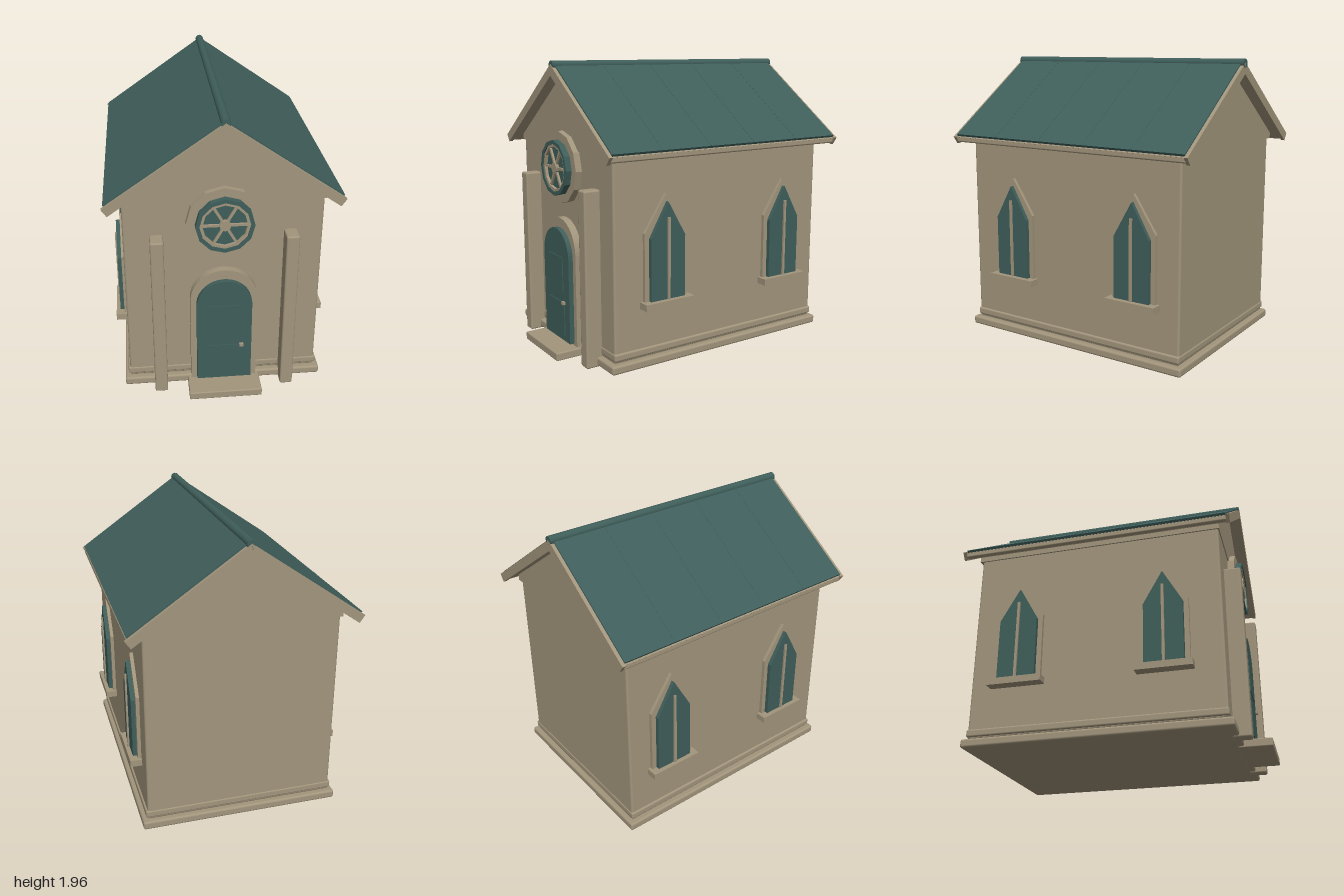
import * as THREE from 'three';
import { RoundedBoxGeometry } from 'three/addons/geometries/RoundedBoxGeometry.js';

export function createModel() {
  const model = new THREE.Group();
  model.name = 'chapel';
  const stone = new THREE.MeshStandardMaterial({ name: 'sandstone', color: 0xa2957c });
  const teal = new THREE.MeshStandardMaterial({ name: 'dark teal', color: 0x3f5e5a });

  const add = (name, geo, mat, parent = model) => {
    const m = new THREE.Mesh(geo, mat);
    m.name = name;
    parent.add(m);
    return m;
  };
  // Box given by its limits, optionally with bevelled edges
  const box = (name, mat, [x0, x1], [y0, y1], [z0, z1], bevel = 0, parent = model) => {
    const s = [x1 - x0, y1 - y0, z1 - z0];
    const geo = bevel ? new RoundedBoxGeometry(...s, 2, bevel) : new THREE.BoxGeometry(...s);
    const m = add(name, geo, mat, parent);
    m.position.set((x0 + x1) / 2, (y0 + y1) / 2, (z0 + z1) / 2);
    return m;
  };
  // Outline extruded from z0 to z1
  const slab = (name, mat, shape, z0, z1, parent = model) => {
    const geo = new THREE.ExtrudeGeometry(shape, { depth: z1 - z0, bevelEnabled: false, curveSegments: 12 });
    geo.translate(0, 0, z0);
    return add(name, geo, mat, parent);
  };
  const poly = (pts) => new THREE.Shape(pts.map(([x, y]) => new THREE.Vector2(x, y)));

  // Base and walls
  box('plinth', stone, [-0.675, 0.675], [0.01, 0.068], [-0.93, 0.82], 0.015);
  box('plinthCore', stone, [-0.635, 0.635], [0.05, 0.1], [-0.89, 0.78]);
  box('plinthMoulding', stone, [-0.652, 0.652], [0.085, 0.135], [-0.905, 0.79], 0.012);
  box('walls', stone, [-0.64, 0.64], [0.07, 1.4], [-0.9, 0.785], 0.015);
  slab('gable', stone, poly([[-0.65, 1.38], [0.65, 1.38], [0.65, 1.42], [0, 1.88], [-0.65, 1.42]]), -0.915, 0.792);

  // Roof: chevron sections whose eave ends are cut square to the slope
  const slope = 0.694, len = Math.hypot(1, slope);
  const chevron = (apex, halfWidth, thick) => {
    const bx = halfWidth - thick * slope / len;
    const top = apex - slope * halfWidth;
    const low = top - thick / len;
    return poly([[0, apex], [-halfWidth, top], [-bx, low], [0, apex - thick * len], [bx, low], [halfWidth, top]]);
  };
  slab('soffit', stone, chevron(1.925, 0.745, 0.045), -0.98, 0.855);
  slab('roofTiles', teal, chevron(1.947, 0.747, 0.022), -0.976, 0.85);
  slab('frontBargeboard', stone, chevron(1.936, 0.757, 0.06), 0.85, 0.875);
  slab('backBargeboard', stone, chevron(1.936, 0.757, 0.06), -1, -0.975);
  for (const s of [-1, 1]) {
    box('eaveBoard', stone, [s * 0.725 - 0.02, s * 0.725 + 0.02], [1.375, 1.415], [-0.98, 0.855], 0.01);
  }
  // Roof seams
  for (const z of [-0.61, -0.24, 0.12, 0.49]) slab('roofSeam', teal, chevron(1.949, 0.747, 0.006), z - 0.003, z + 0.003);
  const ridge = add('ridgeCap', new THREE.CylinderGeometry(0.03, 0.03, 1.87, 12), teal);
  ridge.rotation.x = Math.PI / 2;
  ridge.position.set(0, 1.93, -0.065);

  // Pilasters and step
  for (const s of [-1, 1]) {
    box('pilaster', stone, [s * 0.43 - 0.043, s * 0.43 + 0.043], [0, 1.17], [0.775, 0.895], 0.012);
  }
  box('doorStep', stone, [-0.245, 0.245], [0, 0.055], [0.78, 1], 0.008);

  // Door with round-headed surround
  const arch = (w, y0, spring) => {
    const s = new THREE.Shape();
    s.moveTo(-w, y0);
    s.lineTo(w, y0);
    s.lineTo(w, spring);
    s.absarc(0, spring, w, 0, Math.PI, false);
    s.closePath();
    return s;
  };
  slab('doorSurround', stone, arch(0.222, 0.05, 0.69), 0.78, 0.835);
  slab('door', teal, arch(0.183, 0.07, 0.663), 0.78, 0.868);
  box('doorUpperPanel', teal, [-0.1, 0.1], [0.42, 0.66], [0.865, 0.874]);
  box('doorLowerPanel', teal, [-0.115, 0.115], [0.11, 0.345], [0.865, 0.874]);
  box('doorHandle', stone, [0.1, 0.127], [0.335, 0.355], [0.865, 0.888]);

  // Round window
  const rose = new THREE.Group();
  rose.name = 'roundWindow';
  rose.position.y = 1.255;
  model.add(rose);
  const ngon = (r, n = 12) => Array.from({ length: n }, (_, i) =>
    new THREE.Vector2(r * Math.cos(i * 2 * Math.PI / n), r * Math.sin(i * 2 * Math.PI / n)));
  const ring = (r, hole) => {
    const s = new THREE.Shape(ngon(r));
    s.holes.push(new THREE.Path(ngon(hole)));
    return s;
  };
  slab('stoneRing', stone, ring(0.245, 0.18), 0.78, 0.83, rose);
  slab('tealRing', teal, ring(0.188, 0.162), 0.78, 0.872, rose);
  slab('innerRing', stone, ring(0.165, 0.143), 0.78, 0.865, rose);
  slab('glass', teal, new THREE.Shape(ngon(0.15)), 0.78, 0.845, rose);
  slab('hub', stone, new THREE.Shape(ngon(0.036)), 0.83, 0.868, rose);
  for (let i = 0; i < 6; i++) {
    const spoke = box('spoke', stone, [0, 0.15], [-0.008, 0.008], [0.835, 0.86], 0, rose);
    const a = i * Math.PI / 3;
    spoke.position.set(0.075 * Math.cos(a), 0.075 * Math.sin(a), 0.8475);
    spoke.rotation.z = a;
  }

  // Pointed side windows, built facing +z then turned to each wall
  const pointed = (w, y0, shoulder, apex) => poly([[-w, y0], [w, y0], [w, shoulder], [0, apex], [-w, shoulder]]);
  for (const s of [-1, 1]) {
    for (const z of [0.41, -0.575]) {
      const win = new THREE.Group();
      win.name = 'sideWindow';
      win.rotation.y = s * Math.PI / 2;
      win.position.z = z;
      model.add(win);
      slab('frame', stone, pointed(0.163, 0.44, 0.895, 1.14), 0.63, 0.663, win);
      slab('glass', teal, pointed(0.13, 0.45, 0.862, 1.09), 0.63, 0.69, win);
      box('mullion', stone, [-0.009, 0.009], [0.45, 0.99], [0.68, 0.702], 0, win);
      box('sill', stone, [-0.185, 0.185], [0.402, 0.447], [0.63, 0.718], 0, win);
    }
  }
  return model;
}
